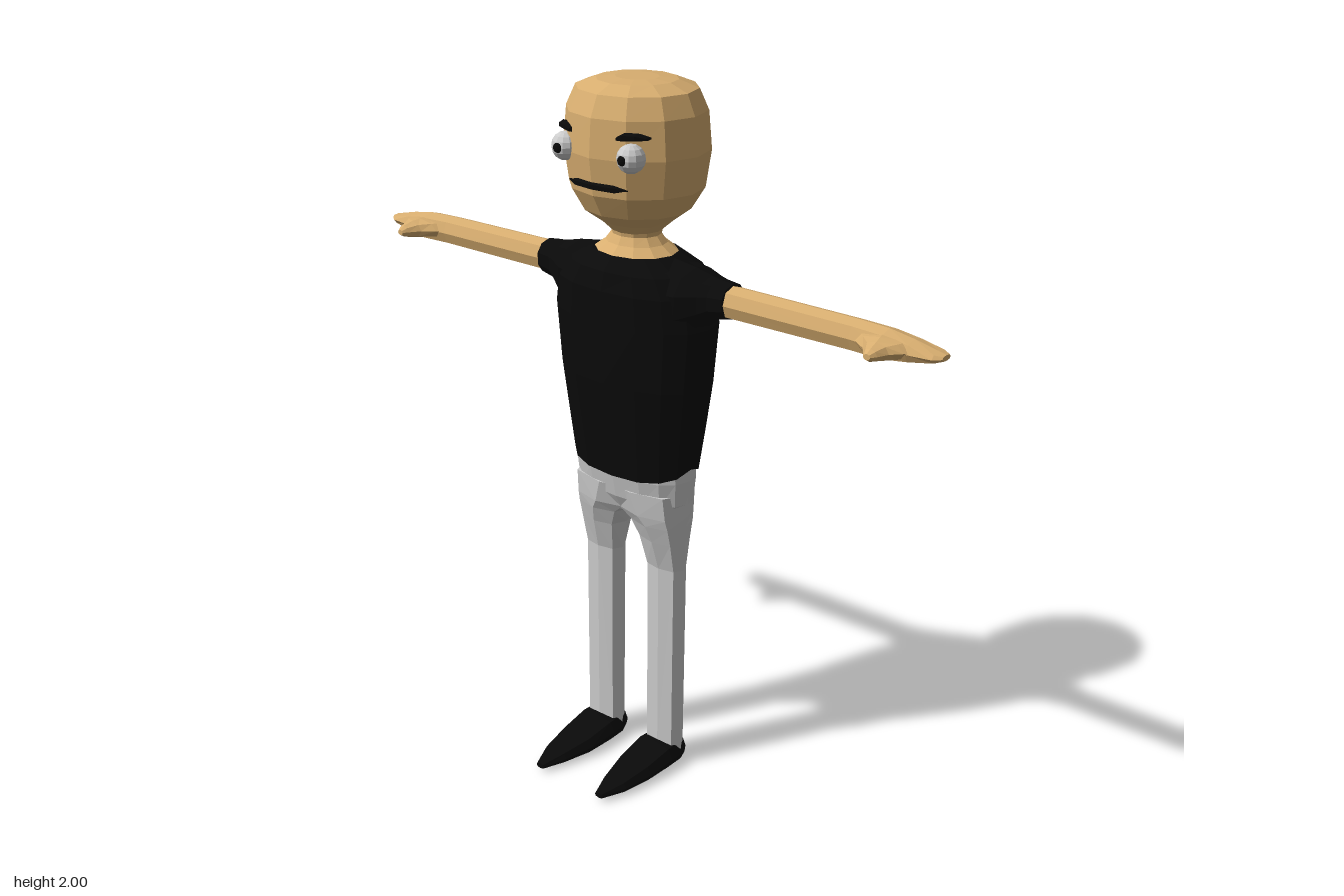
import * as THREE from 'three';

const mat = (color, side = THREE.FrontSide) =>
  new THREE.MeshStandardMaterial({ color, flatShading: true, roughness: 0.9, side });

// Loft along an axis. Each ring is [position, uMin, uMax, vMin, vMax]
// with (u, v) = (x, z) for axis y, (y, z) for axis x, (x, y) for axis z.
// power < 1 makes the rings boxier; dip lowers the first ring at front and back.
function loft(axis, rings, { sides = 8, power = 1, dip = 0 } = {}) {
  const pos = [], idx = [];
  const bulge = (c) => Math.sign(c) * Math.pow(Math.abs(c), power);
  const put = (t, u, v) => {
    if (axis === 'y') pos.push(u, t, v);
    else if (axis === 'x') pos.push(t, u, v);
    else pos.push(u, v, t);
  };
  const flip = axis === 'y' ? 1 : -1;
  rings.forEach(([t, u0, u1, v0, v1], i) => {
    for (let j = 0; j < sides; j++) {
      const a = (j / sides) * Math.PI * 2;
      const s = Math.abs(Math.sin(a)) < 1e-9 ? 0 : bulge(Math.sin(a));
      const c = Math.abs(Math.cos(a)) < 1e-9 ? 0 : bulge(Math.cos(a));
      put(t - (i === 0 ? dip * Math.abs(s) : 0),
        (u0 + u1) / 2 + ((u1 - u0) / 2) * c,
        (v0 + v1) / 2 + flip * ((v1 - v0) / 2) * s);
    }
  });
  const last = rings.length - 1;
  for (let i = 0; i < last; i++)
    for (let j = 0; j < sides; j++) {
      const k = (j + 1) % sides;
      const a = i * sides + j, b = i * sides + k, c = a + sides, d = b + sides;
      idx.push(a, c, b, b, c, d);
    }
  // end caps
  for (const i of [0, last]) {
    const [t, u0, u1, v0, v1] = rings[i];
    const centre = pos.length / 3;
    put(t, (u0 + u1) / 2, (v0 + v1) / 2);
    for (let j = 0; j < sides; j++) {
      const a = i * sides + j, b = i * sides + ((j + 1) % sides);
      if (i === 0) idx.push(centre, a, b);
      else idx.push(centre, b, a);
    }
  }
  const g = new THREE.BufferGeometry();
  g.setAttribute('position', new THREE.Float32BufferAttribute(pos, 3));
  g.setIndex(idx);
  g.computeVertexNormals();
  return g;
}

// Mirrored copy across x = 0 with the winding restored
function mirrored(geometry) {
  const g = geometry.clone().scale(-1, 1, 1);
  const a = g.index.array;
  for (let i = 0; i < a.length; i += 3) [a[i], a[i + 1]] = [a[i + 1], a[i]];
  g.computeVertexNormals();
  return g;
}

export function createModel() {
  const model = new THREE.Group();
  model.name = 'standingFigure';
  const skin = mat(0xd8ae70), black = mat(0x0a0a0a), grey = mat(0xcccccc);
  const shirt = mat(0x0a0a0a, THREE.DoubleSide);

  const add = (name, geometry, material) => {
    const mesh = new THREE.Mesh(geometry, material);
    mesh.name = name;
    model.add(mesh);
  };
  const addPair = (name, geometry, material) => {
    add('left' + name, geometry, material);
    add('right' + name, mirrored(geometry), material);
  };
  const sym = ([y, r, z0, z1]) => [y, -r, r, z0, z1];

  // Head and neck
  add('head', loft('y', [
    [1.6, 0.07, -0.12, 0.01], [1.625, 0.1, -0.145, 0.035], [1.66, 0.147, -0.195, 0.085],
    [1.72, 0.185, -0.228, 0.118], [1.82, 0.2, -0.242, 0.132], [1.92, 0.19, -0.235, 0.125],
    [1.975, 0.165, -0.21, 0.1], [1.995, 0.11, -0.16, 0.05], [2.0, 0.06, -0.11, 0],
  ].map(sym), { sides: 12 }), skin);
  add('neck', loft('y', [
    [1.546, 0.12, -0.155, 0.045], [1.568, 0.088, -0.13, 0.02],
    [1.59, 0.07, -0.117, 0.008], [1.63, 0.078, -0.125, 0.015],
  ].map(sym), { sides: 12 }), skin);

  // Eyes, brows and mouth
  const eyeSphere = (r, x, y, z) => new THREE.SphereGeometry(r, 12, 8).translate(x, y, z);
  addPair('Eye', eyeSphere(0.038, 0.11, 1.83, 0.098), grey);
  addPair('Pupil', eyeSphere(0.014, 0.108, 1.83, 0.128), black);
  addPair('Brow', loft('x', [
    [0.078, 1.872, 1.884, 0.1, 0.122], [0.095, 1.872, 1.894, 0.09, 0.12],
    [0.125, 1.874, 1.894, 0.07, 0.108], [0.145, 1.876, 1.884, 0.06, 0.085],
  ], { sides: 6 }), black);
  add('mouth', loft('x', [
    [-0.097, 1.742, 1.748, 0.08, 0.1], [-0.06, 1.735, 1.756, 0.09, 0.122],
    [0, 1.736, 1.759, 0.1, 0.135],
    [0.06, 1.735, 1.756, 0.09, 0.122], [0.097, 1.742, 1.748, 0.08, 0.1],
  ], { sides: 6 }), black);

  // Shirt body with a hem that dips front and back, and short sleeves
  add('shirt', loft('y', [
    [0.958, 0.197, -0.16, 0.05], [1.06, 0.212, -0.18, 0.068], [1.2, 0.23, -0.197, 0.085],
    [1.37, 0.245, -0.203, 0.092], [1.46, 0.232, -0.202, 0.092],
    [1.51, 0.19, -0.19, 0.078], [1.546, 0.12, -0.155, 0.045],
  ].map(sym), { sides: 16, power: 0.82, dip: 0.04 }), shirt);
  addPair('Sleeve', loft('x', [
    [0.1, 1.32, 1.546, -0.17, 0.06], [0.2, 1.35, 1.531, -0.155, 0.04],
    [0.25, 1.385, 1.518, -0.128, 0.008], [0.275, 1.405, 1.513, -0.118, -0.002],
    [0.32, 1.415, 1.51, -0.108, -0.008],
  ], { sides: 10, power: 0.9 }), black);

  // Arms ending in mitten hands with a forward thumb
  addPair('Arm', loft('x', [
    [0.29, 1.418, 1.505, -0.103, -0.015], [0.7, 1.42, 1.502, -0.102, -0.016],
    [0.79, 1.42, 1.5, -0.1, -0.01], [0.86, 1.431, 1.488, -0.099, -0.015],
    [0.925, 1.444, 1.472, -0.095, -0.027], [0.945, 1.452, 1.467, -0.08, -0.042],
  ], { sides: 8, power: 0.85 }), skin);
  addPair('Thumb', loft('z', [
    [-0.04, 0.69, 0.88, 1.432, 1.492], [-0.01, 0.725, 0.86, 1.436, 1.49],
    [0.015, 0.762, 0.835, 1.438, 1.486], [0.045, 0.782, 0.822, 1.445, 1.478],
    [0.06, 0.792, 0.812, 1.453, 1.469],
  ]), skin);

  // Trousers: hips, and legs that merge at the crotch
  add('hips', loft('y', [
    [0.8, 0.15, -0.11, 0.005], [0.85, 0.186, -0.14, 0.032],
    [0.92, 0.191, -0.155, 0.046], [1.0, 0.188, -0.155, 0.046],
  ].map(sym), { sides: 16, power: 0.82 }), grey);
  addPair('Leg', loft('y', [
    [0.05, 0.053, 0.173, -0.093, -0.022], [0.64, 0.05, 0.175, -0.095, -0.02],
    [0.73, 0.034, 0.18, -0.113, 0.004], [0.78, 0.01, 0.183, -0.128, 0.02],
    [0.81, -0.03, 0.185, -0.137, 0.03], [0.88, -0.08, 0.188, -0.148, 0.04],
  ], { sides: 8, power: 0.8 }), grey);

  // Pointed shoes
  addPair('Shoe', loft('z', [
    [-0.097, 0.065, 0.16, 0.01, 0.066], [-0.07, 0.048, 0.178, 0, 0.076],
    [-0.01, 0.044, 0.18, 0, 0.076], [0.08, 0.05, 0.175, 0, 0.058],
    [0.17, 0.073, 0.158, 0.004, 0.042], [0.24, 0.1, 0.128, 0.01, 0.026],
  ], { sides: 8, power: 0.7 }), black);

  return model;
}
